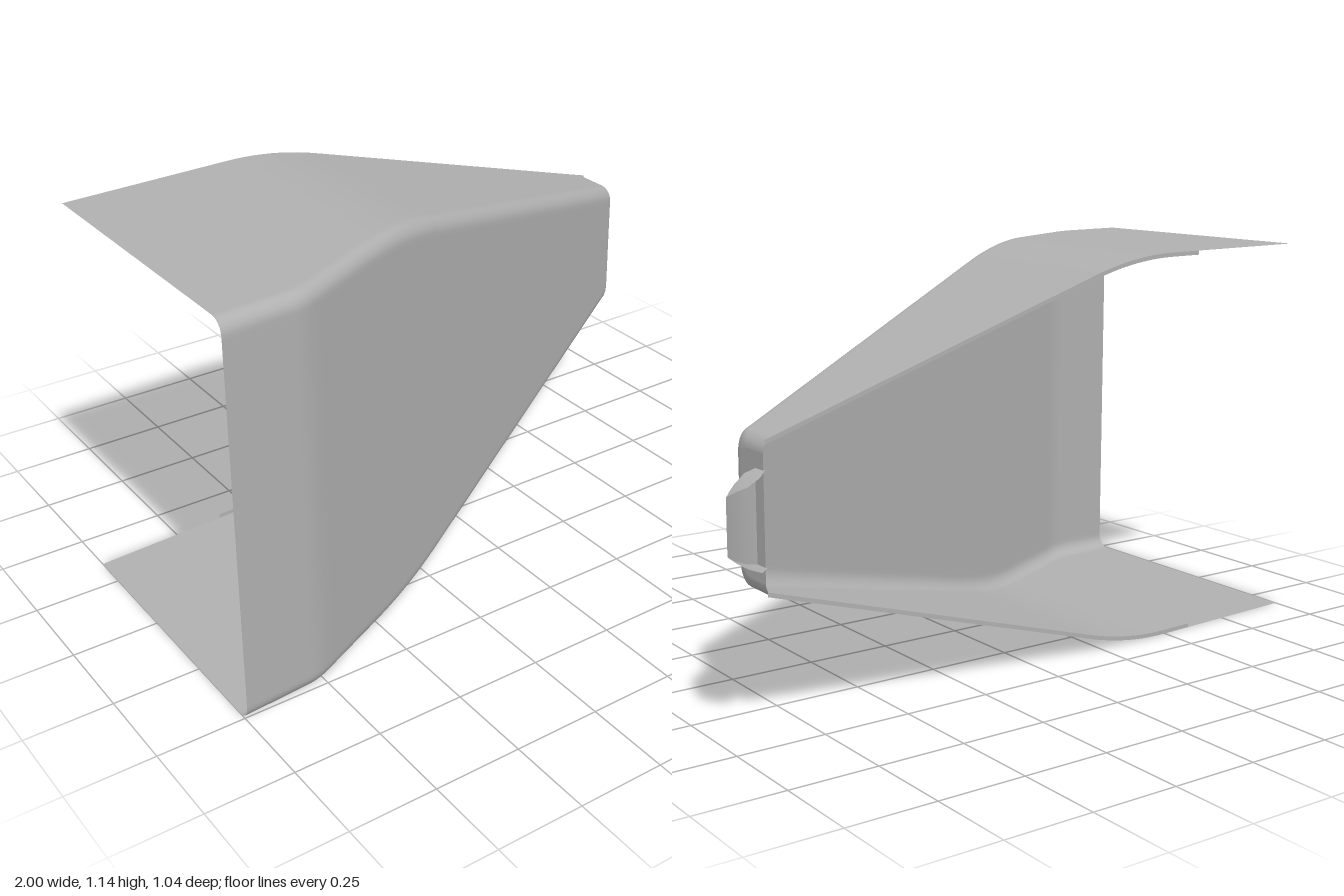
import * as THREE from 'three';

const MID = 0.57; // height of the mirror plane between top and bottom

// Straight line that turns softly from slope s0 to slope s1 around xc
function bend(x, xc, w, y0, s0, s1) {
  const d = x - xc;
  const t = d <= -w ? 0 : d >= w ? d : (d + w) ** 2 / (4 * w);
  return y0 + s0 * d + (s1 - s0) * t;
}
const halfHeight = (x) => bend(x, -0.345, 0.15, MID, 0, -0.304);
const frontZ = (x) => bend(x, -0.77, 0.04, 0.498, -0.075, -0.491);
const backZ = (x) => -0.355 - 0.0582 * (x + 1);

// Surface through equal-length rows of points
function grid(rows) {
  const n = rows[0].length, index = [];
  for (let j = 0; j < rows.length - 1; j++) {
    for (let i = 0; i < n - 1; i++) {
      const a = j * n + i, b = a + 1, c = a + n, d = c + 1;
      index.push(a, b, c, b, d, c);
    }
  }
  const geo = new THREE.BufferGeometry();
  geo.setAttribute('position', new THREE.Float32BufferAttribute(rows.flat(2), 3));
  geo.setIndex(index);
  geo.computeVertexNormals();
  return geo;
}

// U-shaped section, from rear top edge round the front to rear bottom edge
function section(x, inset = 0) {
  const r = 0.04, h = halfHeight(x) - inset, zf = frontZ(x) - inset, zb = backZ(x);
  const top = [[x, MID + h, zb], [x, MID + h, zf - r - 0.012]];
  for (let k = 0; k <= 6; k++) {
    const a = (k / 6) * Math.PI / 2;
    top.push([x, MID + h - r + r * Math.cos(a), zf - r + r * Math.sin(a)]);
  }
  top.push([x, MID + h - r - 0.012, zf]);
  const bottom = top.map(([px, y, z]) => [px, 2 * MID - y, z]).reverse();
  return [...top, ...bottom];
}

export function createModel() {
  const model = new THREE.Group();
  const grey = new THREE.MeshStandardMaterial({ color: 0xb0b0b0, side: THREE.DoubleSide });
  grey.name = 'grey';
  const add = (name, geo) => {
    const mesh = new THREE.Mesh(geo, grey);
    mesh.name = name;
    model.add(mesh);
  };

  // Tapered cover, open at the back and at the wide end
  const xs = [-1, -0.9, -0.83];
  for (let k = 0; k <= 6; k++) xs.push(-0.81 + k * 0.08 / 6);
  xs.push(-0.71, -0.6, -0.51);
  for (let k = 0; k <= 10; k++) xs.push(-0.495 + k * 0.03);
  xs.push(-0.18, 0, 0.3, 0.6, 0.83, 0.848);
  const rows = xs.map((x) => section(x));
  for (let k = 0; k <= 6; k++) {
    const a = (k / 6) * Math.PI / 2;
    rows.push(section(0.86 + 0.03 * Math.sin(a), 0.03 * (1 - Math.cos(a))));
  }
  add('coverShell', grid(rows));

  // Flat wall closing the narrow end
  const last = rows[rows.length - 1], half = last.length / 2;
  add('endWall', grid([last.slice(0, half), last.slice(half).reverse()]));

  // Thin lips inside the rear edges
  const lipXs = xs.filter((x) => x >= -0.6).concat(0.885);
  for (const [name, s] of [['topLip', 1], ['bottomLip', -1]]) {
    add(name, grid(lipXs.map((x) => {
      const h = halfHeight(x), z = backZ(x);
      return [[x, MID + s * (h - 0.012), z], [x, MID + s * h, z]];
    })));
  }

  // Hooked tab: columns are x, web z, flange z, web half height, flange half height
  const tab = [
    [0.885, -0.423, -0.465, 0.122, 0.122],
    [0.925, -0.433, -0.513, 0.114, 0.117],
    [0.965, -0.455, -0.522, 0.095, 0.1],
    [0.985, -0.469, -0.502, 0.083, 0.088],
    [1.0, -0.48, -0.483, 0.072, 0.074],
  ];
  add('tabWeb', grid(tab.map(([x, z, , h]) => [[x, MID + h, z], [x, MID - h, z]])));
  for (const [name, s] of [['tabTopFlange', 1], ['tabBottomFlange', -1]]) {
    add(name, grid(tab.map(([x, z, zf, h, hf]) => {
      const edge = [[x, MID + s * hf, zf], [x, MID + s * h, z]];
      return s > 0 ? edge : edge.reverse();
    })));
  }
  return model;
}
